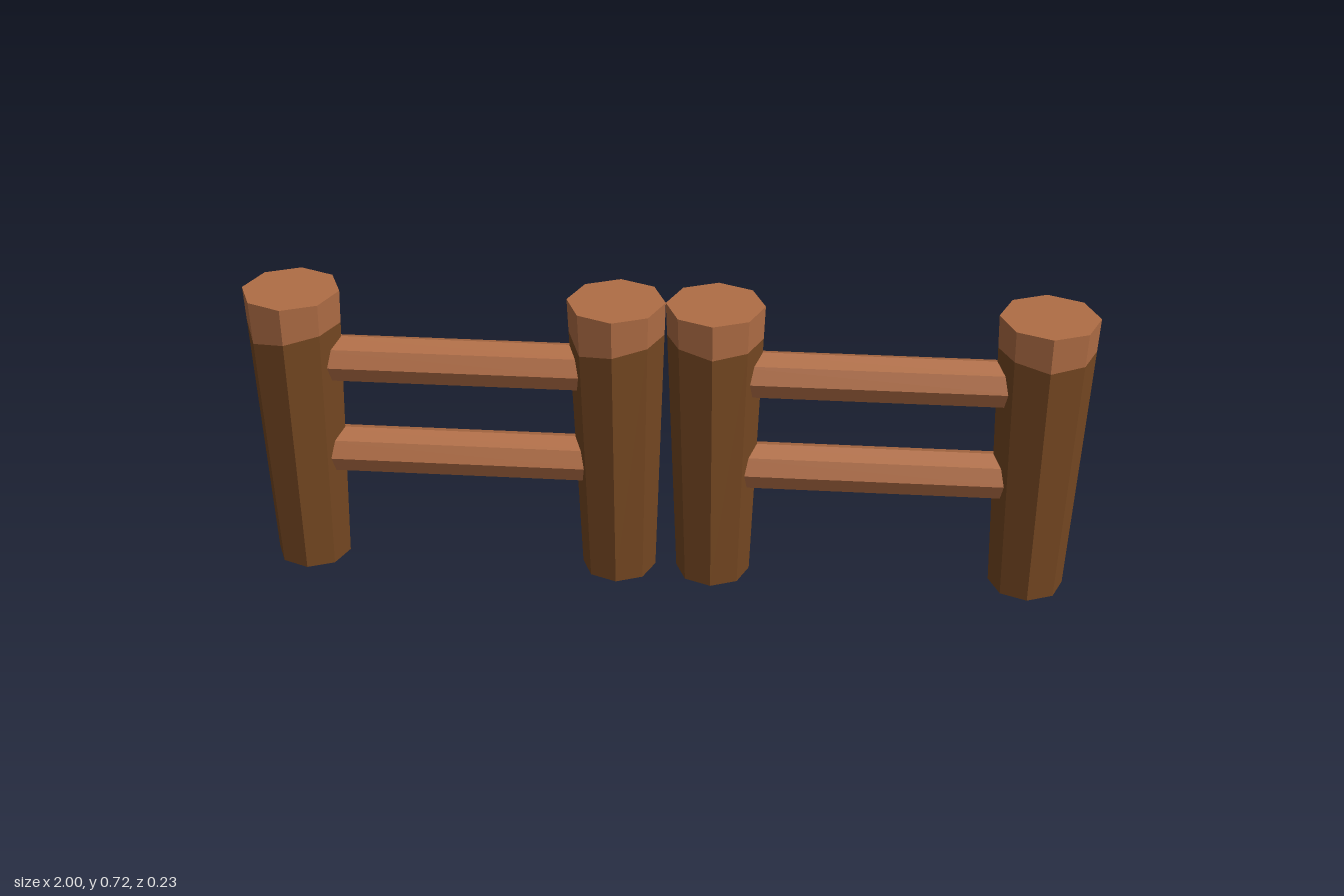
import * as THREE from 'three';
import { mergeGeometries } from 'three/addons/utils/BufferGeometryUtils.js';

const SIDES = 8;
const HEIGHT = 0.723;
const CUT = 0.635;
// uneven height of the bark's upper edge at each corner, starting at +z and turning to +x
const BARK_EDGE = [0.634, 0.64, 0.64, 0.615, 0.63, 0.642, 0.64, 0.645];

const radiusAt = (y) => 0.09 + (0.116 - 0.09) * (y / HEIGHT);

// open ring of the tapered post between two heights, with the cut edge made uneven
function postSection(y0, y1) {
  const g = new THREE.CylinderGeometry(radiusAt(y1), radiusAt(y0), y1 - y0, SIDES, 1, true);
  g.translate(0, (y0 + y1) / 2, 0);
  const p = g.attributes.position;
  for (let i = 0; i < p.count; i++) {
    if (Math.abs(p.getY(i) - CUT) > 0.001) continue;
    const angle = Math.atan2(p.getX(i), p.getZ(i));
    const corner = (Math.round((angle / (Math.PI * 2)) * SIDES) + SIDES) % SIDES;
    const y = BARK_EDGE[corner];
    const s = radiusAt(y) / radiusAt(CUT);
    p.setXYZ(i, p.getX(i) * s, y, p.getZ(i) * s);
  }
  return g;
}

// flat end of a post, facing up or down
function disc(y, up) {
  const g = new THREE.CircleGeometry(radiusAt(y), SIDES);
  g.rotateX(up ? -Math.PI / 2 : Math.PI / 2);
  return g.translate(0, y, 0);
}

export function createModel() {
  const bark = new THREE.MeshStandardMaterial({ color: 0x764822, flatShading: true });
  bark.name = 'dark bark';
  const wood = new THREE.MeshStandardMaterial({ color: 0xb06d45, flatShading: true });
  wood.name = 'light wood';

  const trunkGeometry = mergeGeometries([postSection(0, CUT), disc(0, false)]);
  const capGeometry = mergeGeometries([postSection(CUT, HEIGHT), disc(HEIGHT, true)]);
  // rails run between the post centres
  const railGeometry = new THREE.CylinderGeometry(0.058, 0.058, 0.77, SIDES);
  railGeometry.rotateZ(Math.PI / 2);

  const add = (parent, name, geometry, material) => {
    const mesh = new THREE.Mesh(geometry, material);
    mesh.name = name;
    parent.add(mesh);
    return mesh;
  };

  const model = new THREE.Group();
  model.name = 'fence';

  // two equal panels, the second turned half round
  for (const side of [1, -1]) {
    const panel = new THREE.Group();
    panel.name = side > 0 ? 'leftPanel' : 'rightPanel';
    panel.rotation.y = side > 0 ? 0 : Math.PI;
    model.add(panel);

    for (const [name, x] of [['innerPost', 0.116], ['outerPost', 0.884]]) {
      const post = new THREE.Group();
      post.name = name;
      post.position.x = x;
      add(post, 'trunk', trunkGeometry, bark);
      add(post, 'cap', capGeometry, wood);
      panel.add(post);
    }
    for (const [name, y] of [['lowerRail', 0.297], ['upperRail', 0.545]]) {
      add(panel, name, railGeometry, wood).position.set(0.5, y, 0);
    }
  }
  return model;
}
